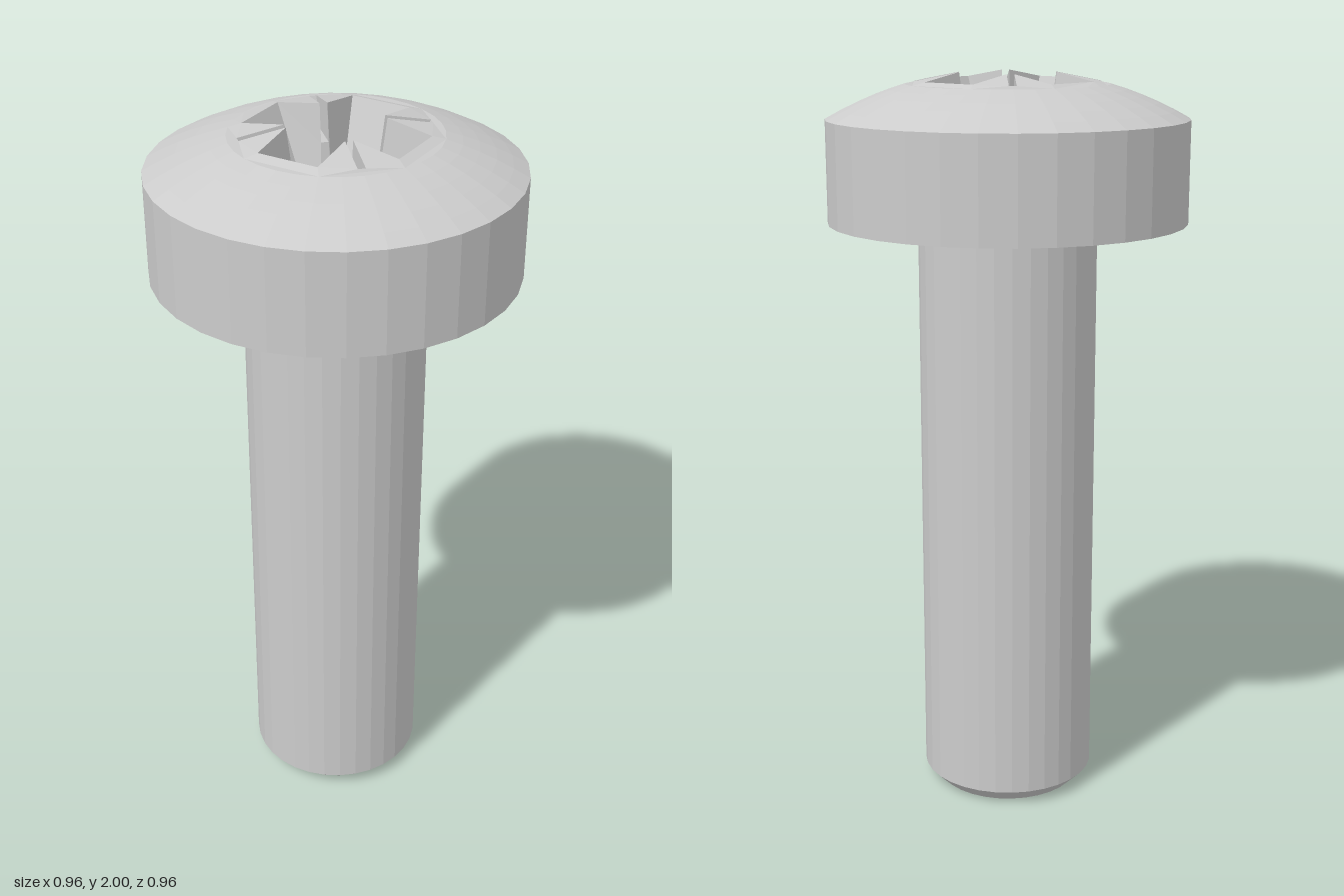
import * as THREE from 'three';

const SIDES = 32;
const FLOOR_Y = 1.75, SLOT_Y = 1.9;   // recess floor, diagonal slot floor
const APEX = 2.007, DOME_R = 0.97;    // spherical top of the head
const CAP_R = 0.27;                   // part of the dome that carries the recess

const domeY = (r) => APEX - DOME_R + Math.sqrt(DOME_R * DOME_R - r * r);

// Quarter outlines [x, z], repeated four times around the axis
const TOP = [[0.222, -0.083], [0.222, 0.083], [0.097, 0.083], [0.18, 0.166], [0.166, 0.18], [0.083, 0.097]];
const FLOOR = [[0.125, -0.058], [0.125, 0.058], [0.08, 0.058], [0.058, 0.08]];

const turn = ([x, z], k) => {
  const c = [1, 0, -1, 0][k % 4], s = [0, 1, 0, -1][k % 4];
  return [x * c - z * s, x * s + z * c];
};
const around = (pts) => [0, 1, 2, 3].flatMap((k) => pts.map((p) => new THREE.Vector2(...turn(p, k))));
const circle = (r) => Array.from({ length: SIDES }, (_, i) => {
  const a = (i / SIDES) * Math.PI * 2;
  return new THREE.Vector2(r * Math.cos(a), r * Math.sin(a));
});

// Flat region with one hole, laid horizontally
function plate(outer, hole) {
  const shape = new THREE.Shape(outer);
  shape.holes.push(new THREE.Path(hole));
  return new THREE.ShapeGeometry(shape).rotateX(-Math.PI / 2);
}

// Tapered walls of the cross and its four diagonal slots
function recessWalls() {
  const out = [];
  for (let k = 0; k < 4; k++) {
    const top = (p, q = k) => { const [x, z] = turn(p, q); return [x, domeY(Math.hypot(x, z)), z]; };
    const at = (p, y, q = k) => { const [x, z] = turn(p, q); return [x, y, z]; };
    const T = [...TOP.map((p) => top(p)), top(TOP[0], k + 1)];
    const F = [...FLOOR.map((p) => at(p, FLOOR_Y)), at(FLOOR[0], FLOOR_Y, k + 1)];
    const M2 = at([0.088, 0.074], SLOT_Y), M3 = at([0.074, 0.088], SLOT_Y);
    const E3 = at([0.157, 0.143], SLOT_Y), E4 = at([0.143, 0.157], SLOT_Y);
    const faces = [
      [T[0], T[1], F[1], F[0]],           // arm end
      [T[1], T[2], M2, F[2], F[1]],       // arm side
      [T[2], T[3], E3, M2],               // slot side
      [T[3], T[4], E4, E3],               // slot end
      [T[4], T[5], M3, E4],               // slot side
      [M2, E3, E4, M3],                   // slot floor
      [M2, M3, F[3], F[2]],               // corner below the slot
      [T[5], T[6], F[4], F[3], M3],       // next arm side
    ];
    for (const f of faces)
      for (let i = 1; i < f.length - 1; i++) out.push(...f[0], ...f[i + 1], ...f[i]);
  }
  const g = new THREE.BufferGeometry();
  g.setAttribute('position', new THREE.Float32BufferAttribute(out, 3));
  g.computeVertexNormals();
  return g;
}

export function createModel() {
  const group = new THREE.Group();
  group.name = 'screw';
  const material = new THREE.MeshStandardMaterial({ color: 0xcccccc, flatShading: true });
  const add = (name, geometry) => {
    const mesh = new THREE.Mesh(geometry, material);
    mesh.name = name;
    group.add(mesh);
    return mesh;
  };
  const lathe = (pts) => new THREE.LatheGeometry(pts.map((p) => new THREE.Vector2(...p)), SIDES);

  // Shank with chamfered tip and a tiny flare under the head
  add('shank', lathe([[0, 0], [0.2, 0], [0.24, 0.04], [0.24, 1.59], [0.25, 1.61]]));

  // Head: underside, straight wall, outer dome
  const head = [[0.25, 1.61], [0.48, 1.61]];
  for (let i = 0; i <= 5; i++) {
    const r = THREE.MathUtils.lerp(0.48, CAP_R, i / 5);
    head.push([r, domeY(r)]);
  }
  add('head', lathe(head));

  // Middle of the dome, pierced by the drive recess
  const cap = plate(circle(CAP_R), around(TOP));
  const p = cap.attributes.position;
  for (let i = 0; i < p.count; i++) p.setY(i, domeY(Math.hypot(p.getX(i), p.getZ(i))));
  cap.computeVertexNormals();
  add('headCrown', cap);

  // Drive recess: walls, flat arm floors, shallow conical centre
  add('recessWalls', recessWalls());
  add('recessFloor', plate(around(FLOOR), circle(0.097))).position.y = FLOOR_Y;
  add('recessCone', lathe([[0.097, FLOOR_Y], [0, FLOOR_Y - 0.035]].reverse().map(([r, y]) => [r, y])).scale(1, 1, 1))
    .geometry.index.array.reverse(); // faces up into the recess

  return group;
}
